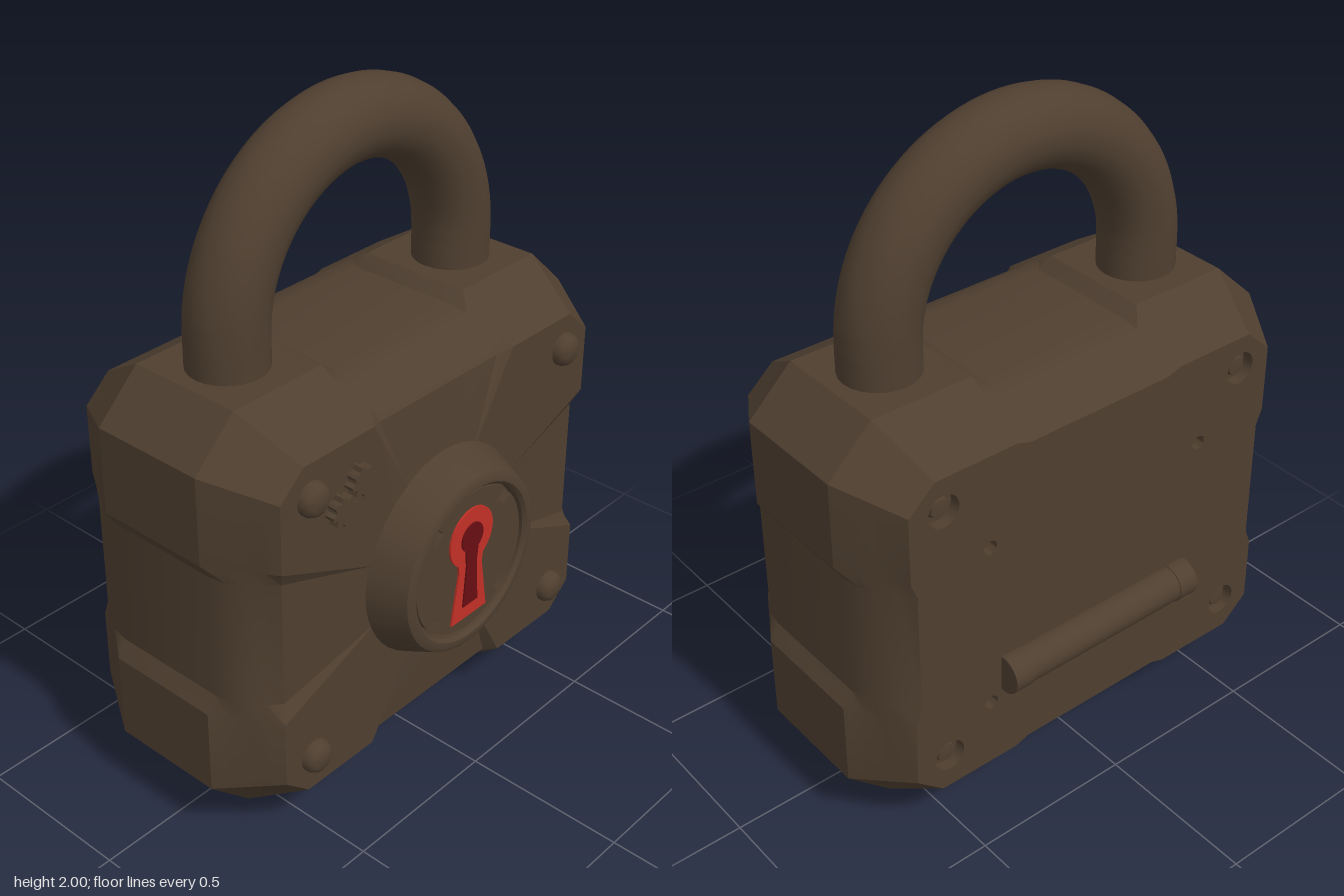
import * as THREE from 'three';
import { toCreasedNormals } from 'three/addons/utils/BufferGeometryUtils.js';

const CY = 0.7025, FRONT = 0.345, BACK = -0.385;

export function createModel() {
  const group = new THREE.Group();
  const iron = new THREE.MeshStandardMaterial({ color: 0x4f3f30 });
  iron.name = 'brownIron';
  const red = new THREE.MeshStandardMaterial({ color: 0xc23026 });
  red.name = 'keyholeRed';
  const darkRed = new THREE.MeshStandardMaterial({ color: 0x680e12 });
  darkRed.name = 'keyholeDarkRed';

  const add = (name, geo, mat, x = 0, y = 0, z = 0) => {
    const m = new THREE.Mesh(geo, mat);
    m.name = name;
    m.position.set(x, y, z);
    group.add(m);
    return m;
  };
  // Turned part: profile runs from the outer base to the centre of the top
  const turned = (pts, seg = 32) => toCreasedNormals(
    new THREE.LatheGeometry(pts.map(p => new THREE.Vector2(p[0], p[1])), seg).toNonIndexed(), 0.6);
  const extrude = (shape, depth) => new THREE.ExtrudeGeometry(shape, { depth, bevelEnabled: false, curveSegments: 16 });

  // Body outline, one quarter: [x, y, x at face, y at face, recessed]
  const quarter = [
    [0.72, 0.195, 0.62, 0.195, 1],
    [0.75, 0.245, 0.64, 0.245, 0],
    [0.75, 0.51, 0.64, 0.455, 0],
    [0.61, 0.6425, 0.555, 0.53, 0],
    [0.29, 0.6425, 0.29, 0.53, 0],
    [0.245, 0.6125, 0.245, 0.515, 1],
  ];
  const flip = (list, sx, sy) => list.map(([x, y, a, b, r]) => [x * sx, y * sy, a * sx, b * sy, r]);
  const rev = [...quarter].reverse();
  const outline = [...quarter, ...flip(rev, -1, 1), ...flip(quarter, -1, -1), ...flip(rev, 1, -1)];

  // Body: rings from back to front, closing on a circle under the lock boss
  const ringAt = (t, z, dip = 0) => outline.map(([x, y, a, b, r]) => {
    const k = r ? Math.pow(t, 1.9) : t;
    return [x + (a - x) * k, y + (b - y) * k, z - (r ? dip : 0)];
  });
  const rings = [];
  const steps = [0, 0.3, 0.55, 0.8, 1];
  [...steps].reverse().forEach(t => rings.push(ringAt(t, -0.2 + (BACK + 0.2) * t)));
  steps.forEach(t => rings.push(ringAt(t, 0.16 + (FRONT - 0.16) * t, 0.022 * t * t)));
  rings.push(outline.map(p => {
    const l = Math.hypot(p[2], p[3]);
    return [p[2] / l * 0.3, p[3] / l * 0.3, FRONT];
  }));
  const pos = [];
  for (let k = 0; k < rings.length - 1; k++) {
    for (let i = 0; i < outline.length; i++) {
      const j = (i + 1) % outline.length;
      const a = rings[k][i], b = rings[k][j], c = rings[k + 1][j], d = rings[k + 1][i];
      pos.push(...a, ...b, ...c, ...a, ...c, ...d);
    }
  }
  const bodyGeo = new THREE.BufferGeometry();
  bodyGeo.setAttribute('position', new THREE.Float32BufferAttribute(pos, 3));
  add('body', toCreasedNormals(bodyGeo, 0.48), iron, 0, CY, 0);

  // Back plate with drilled holes: [x, y, radius]
  const holes = [];
  for (const s of [-1, 1]) {
    holes.push([s * 0.53, 1.13, 0.05], [s * 0.53, 0.285, 0.05]);
    holes.push([s * 0.38, 0.94, 0.022], [s * 0.38, 0.395, 0.022]);
  }
  const backShape = new THREE.Shape(outline.map(p => new THREE.Vector2(p[2], p[3])));
  for (const [x, y, r] of holes) {
    backShape.holes.push(new THREE.Path().absarc(-x, y - CY, r, 0, Math.PI * 2, true));
    const cup = r > 0.04
      ? [[r, 0], [r, -0.035], [0.034, -0.035], [0.028, -0.015], [0, -0.012]]
      : [[r, 0], [r, -0.03], [0, -0.03]];
    add(r > 0.04 ? 'backScrew' : 'backHole', turned(cup, 24), iron, x, y, BACK).rotation.x = -Math.PI / 2;
  }
  add('backPlate', new THREE.ShapeGeometry(backShape, 12), iron, 0, CY, BACK).rotation.y = Math.PI;

  // Shackle: two straight legs joined by a half circle
  const path = new THREE.CurvePath();
  const R = 0.453, legTop = 1.432;
  const arc = [];
  for (let i = 0; i <= 24; i++) {
    const a = Math.PI * i / 24;
    arc.push(new THREE.Vector3(R * Math.cos(a), legTop + R * Math.sin(a), 0));
  }
  path.add(new THREE.LineCurve3(new THREE.Vector3(R, 1.28, 0), arc[0]));
  path.add(new THREE.CatmullRomCurve3(arc));
  path.add(new THREE.LineCurve3(arc[24], new THREE.Vector3(-R, 1.28, 0)));
  add('shackle', new THREE.TubeGeometry(path, 64, 0.115, 24), iron, 0, 0, -0.021);

  // Lock boss ring and the notched disc inside it
  const boss = turned([[0.322, -0.01], [0.318, 0.005], [0.275, 0.108], [0.262, 0.115], [0.245, 0.115],
    [0.235, 0.105], [0.235, 0.075], [0, 0.075]], 48);
  add('lockRing', boss, iron, 0, 0.705, FRONT).rotation.x = Math.PI / 2;
  const disc = new THREE.Shape();
  for (let i = 0; i < 4; i++) {
    const mid = Math.PI / 4 + i * Math.PI / 2, w = 0.12;
    disc.absarc(0, 0, 0.19, mid - w, mid + w, false);
    disc.absarc(0, 0, 0.226, mid + w, mid + Math.PI / 2 - w, false);
  }
  add('lockDisc', extrude(disc, 0.025), iron, 0, 0.705, FRONT + 0.075);

  // Keyhole: round head over a flared foot
  const keyhole = (r, waist, waistY, foot, footY) => {
    const s = new THREE.Shape();
    s.moveTo(-foot, footY);
    s.lineTo(foot, footY);
    s.lineTo(waist, waistY);
    s.absarc(0, 0.79, r, -0.95, Math.PI + 0.95, false);
    s.lineTo(-waist, waistY);
    s.closePath();
    return s;
  };
  add('keyholePlate', extrude(keyhole(0.093, 0.05, 0.685, 0.077, 0.52), 0.006), red, 0, 0, FRONT + 0.1);
  add('keyholeSlot', extrude(keyhole(0.046, 0.022, 0.7, 0.032, 0.565), 0.004), darkRed, 0, 0, FRONT + 0.106);

  // Front corner rivets
  const rivet = turned([[0.05, -0.01], [0.05, 0.012], [0.042, 0.028], [0.03, 0.036], [0, 0.038]], 24);
  for (const x of [-0.53, 0.53]) {
    for (const y of [0.285, 1.13]) add('frontRivet', rivet, iron, x, y, FRONT).rotation.x = Math.PI / 2;
  }

  // Pair of small cog ornaments
  const cog = new THREE.Shape();
  for (let i = 0; i < 32; i++) {
    const a = i / 32 * Math.PI * 2, r = i % 4 < 2 ? 0.046 : 0.035;
    cog[i ? 'lineTo' : 'moveTo'](r * Math.cos(a), r * Math.sin(a));
  }
  const cogGeo = extrude(cog, 0.035);
  add('cog', cogGeo, iron, -0.36, 1.11, FRONT - 0.005);
  add('cog', cogGeo, iron, -0.432, 1.052, FRONT - 0.005);

  // Hinge bar across the back
  const bar = (name, r, len, x) => {
    add(name, new THREE.CylinderGeometry(r, r, len, 24), iron, x, 0.485, -0.395).rotation.z = Math.PI / 2;
  };
  bar('hingeBar', 0.057, 0.57, 0);
  for (const s of [-1, 1]) bar('hingeBarEnd', 0.06, 0.065, s * 0.3125);

  // Round plug under the body
  add('bottomPlug', turned([[0, 0], [0.165, 0], [0.185, 0.012], [0.192, 0.025], [0.192, 0.055],
    [0.18, 0.068], [0.15, 0.072], [0.15, 0.12]], 40), iron, 0, 0, -0.02);

  return group;
}
